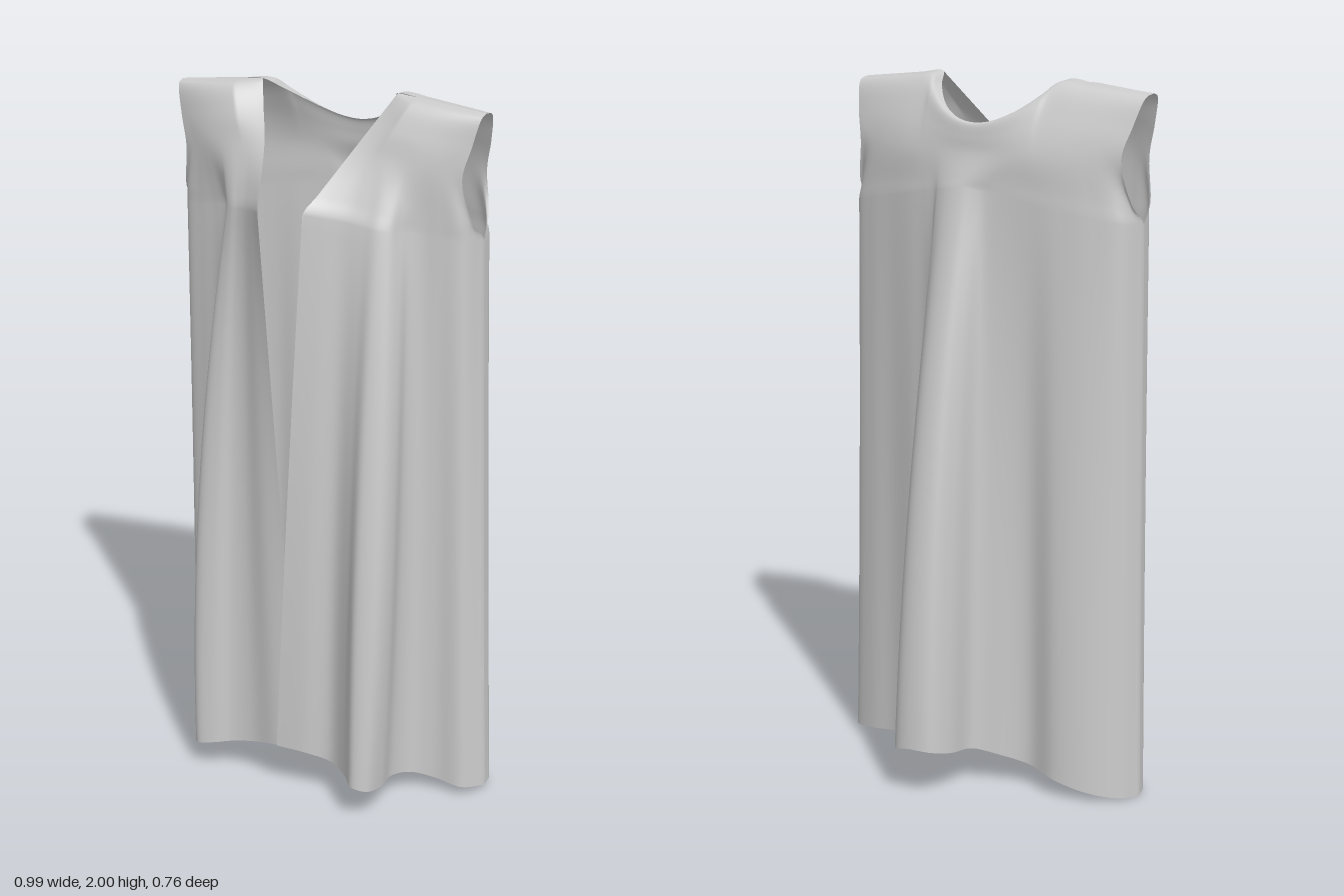
import * as THREE from 'three';
import { mergeGeometries, mergeVertices } from 'three/addons/utils/BufferGeometryUtils.js';

const V = (x, y, z) => new THREE.Vector3(x, y, z);
const lerp = THREE.MathUtils.lerp;

// Heights of the chest line, hem and shoulder ridge, shared by all panels so the seams meet
const chestY = (x) => 1.71 - 0.18 * Math.abs(x);
const hemY = (x, z) => 0.11 - 0.2 * Math.abs(x) + 0.02 * x + 0.16 * Math.max(0, Math.abs(z) - 0.1);
const ridgeY = (x) => 2.02 - 0.1 * Math.abs(x);

const section = (pts, yAt) => pts.map(([x, z]) => V(x, yAt(x, z), z));
const along = (n, f) => Array.from({ length: n }, (_, i) => f(i / (n - 1)));

// A cloth panel draped through four cross-sections: shoulder, upper, chest, hem
function panel({ shoulder, upper, chest, hem, roundness, armhole, sway, flip }, columns) {
  const curves = [shoulder, upper, chest, hem].map((s) => new THREE.CatmullRomCurve3(s));
  const upRows = 30, lowRows = 40, rows = upRows + lowRows + 1;
  const pos = [], idx = [];
  for (let i = 0; i <= columns; i++) {
    const u = i / columns;
    const [s, a, c, h] = curves.map((k) => k.getPoint(u));
    // the folds open quickly below the chest, then settle
    const drape = (k) => {
      const ease = k * (1 - k);
      return V(lerp(c.x, h.x, k) + sway(u) * 4 * ease, lerp(c.y, h.y, k), lerp(c.z, h.z, k + 0.75 * ease));
    };
    // extra points that round the cloth over the shoulder and under the arm
    const over = (t, bulge) => V(lerp(s.x, a.x, t), lerp(s.y, a.y, t), lerp(s.z, a.z, t + bulge * roundness(u)));
    const underarm = a.clone().lerp(c, 0.7);
    underarm.z += armhole(u);
    const yoke = new THREE.CatmullRomCurve3([s, over(0.06, 0.36), over(0.5, 0.28), a, underarm, c, drape(0.08)]);
    for (let r = 0; r < rows; r++) {
      const p = r < upRows ? yoke.getPoint((r / upRows) * (5 / 6)) : drape((r - upRows) / lowRows);
      pos.push(p.x, p.y, p.z);
    }
  }
  for (let i = 0; i < columns; i++) {
    for (let r = 0; r < rows - 1; r++) {
      const p = i * rows + r, q = p + rows;
      if (flip) idx.push(p, q, p + 1, q, q + 1, p + 1);
      else idx.push(p, p + 1, q, q, p + 1, q + 1);
    }
  }
  const g = new THREE.BufferGeometry();
  g.setAttribute('position', new THREE.Float32BufferAttribute(pos, 3));
  g.setIndex(idx);
  return g;
}

// Front panel from the opening edge to the side seam
function frontPanel({ neckX, tipX, edgeX, armX, foldSway, chest, hem, flip }) {
  return panel({
    shoulder: along(12, (t) => { const x = lerp(neckX, tipX, t); return V(x, ridgeY(x), 0.03); }),
    upper: along(12, (t) => {
      const x = lerp(edgeX, armX, t);
      return V(x, 1.885 - 0.2 * Math.abs(x), 0.14 - 0.055 * Math.pow(t, 1.5) + 0.015 * Math.sin(Math.PI * t));
    }),
    chest: section(chest, chestY),
    hem: section(hem, hemY),
    roundness: (u) => Math.min(1, u * 4),
    armhole: (u) => 0.026 * Math.pow(u, 20),
    sway: (u) => foldSway * Math.exp(-(((u - 0.52) / 0.12) ** 2)),
    flip,
  }, 66);
}

// Back panel from the left side seam to the right one, with a scooped neckline
function backPanel() {
  const mid = -0.017, neck = 0.21;
  const half = [0.472, 0.42, 0.36, 0.28, 0.21, 0.18, 0.14, 0.1, 0.05];
  const xs = [...half, 0, ...half.slice().reverse().map((x) => -x)];
  return panel({
    shoulder: xs.map((d) => {
      const x = d + mid, t = Math.min(1, Math.abs(d) / neck);
      return V(x, t < 1 ? 1.88 + 0.12 * t * t : ridgeY(x), 0.03 - 0.15 * (1 - Math.pow(t, 2.5)));
    }),
    upper: xs.map((d) => V(d * 0.91 + mid, 1.8, -0.14 + 0.075 * (d / 0.472) ** 2)),
    chest: section([
      [0.445, 0.01], [0.425, -0.06], [0.36, -0.09], [0.28, -0.11], [0.2, -0.13], [0.14, -0.14], [0.1, -0.148],
      [0.08, -0.158], [0.05, -0.167], [0.02, -0.17], [-0.01, -0.167], [-0.04, -0.158], [-0.07, -0.148],
      [-0.12, -0.14], [-0.2, -0.13], [-0.28, -0.12], [-0.37, -0.1], [-0.45, -0.06], [-0.475, 0.01],
    ], chestY),
    hem: section([
      [0.495, 0.03], [0.48, -0.03], [0.4, -0.07], [0.3, -0.09], [0.2, -0.13], [0.12, -0.16], [0.09, -0.22],
      [0.12, -0.31], [0.085, -0.37], [0.03, -0.383], [-0.03, -0.365], [-0.055, -0.3], [-0.06, -0.2],
      [-0.12, -0.155], [-0.2, -0.12], [-0.3, -0.145], [-0.4, -0.12], [-0.47, -0.06], [-0.495, 0],
    ], hemY),
    roundness: () => 1,
    armhole: (u) => -0.026 * Math.pow(2 * u - 1, 40),
    sway: () => 0,
  }, 108);
}

export function createModel() {
  const left = frontPanel({
    neckX: 0.193, tipX: 0.455, edgeX: 0.12, armX: 0.415, foldSway: 0.025,
    chest: [
      [0.04, 0.27], [0.09, 0.245], [0.14, 0.222], [0.19, 0.212], [0.23, 0.208], [0.26, 0.19],
      [0.275, 0.16], [0.29, 0.138], [0.32, 0.118], [0.36, 0.105], [0.42, 0.08], [0.445, 0.01],
    ],
    hem: [
      [-0.03, 0.312], [0.05, 0.302], [0.13, 0.283], [0.2, 0.325], [0.25, 0.375], [0.29, 0.36],
      [0.3, 0.29], [0.285, 0.2], [0.31, 0.13], [0.37, 0.1], [0.45, 0.09], [0.495, 0.03],
    ],
  });
  const right = frontPanel({
    neckX: -0.227, tipX: -0.489, edgeX: -0.155, armX: -0.445, foldSway: -0.025, flip: true,
    chest: [
      [-0.09, 0.285], [-0.13, 0.25], [-0.17, 0.222], [-0.2, 0.208], [-0.23, 0.198], [-0.255, 0.18],
      [-0.265, 0.155], [-0.285, 0.132], [-0.33, 0.115], [-0.39, 0.1], [-0.45, 0.078], [-0.475, 0.01],
    ],
    hem: [
      [0.045, 0.303], [-0.04, 0.303], [-0.13, 0.28], [-0.2, 0.285], [-0.25, 0.31], [-0.3, 0.315],
      [-0.325, 0.28], [-0.32, 0.2], [-0.335, 0.13], [-0.4, 0.095], [-0.47, 0.06], [-0.495, 0],
    ],
  });

  // Sew the panels together so shading runs smoothly across the side seams
  const cloth = mergeVertices(mergeGeometries([left, right, backPanel()]), 1e-4);
  cloth.computeVertexNormals();
  const robe = new THREE.Mesh(cloth, new THREE.MeshStandardMaterial({ color: 0xcccccc, side: THREE.DoubleSide }));
  robe.name = 'sleevelessRobe';

  const group = new THREE.Group();
  group.name = 'drapedGarment';
  group.add(robe);
  return group;
}
